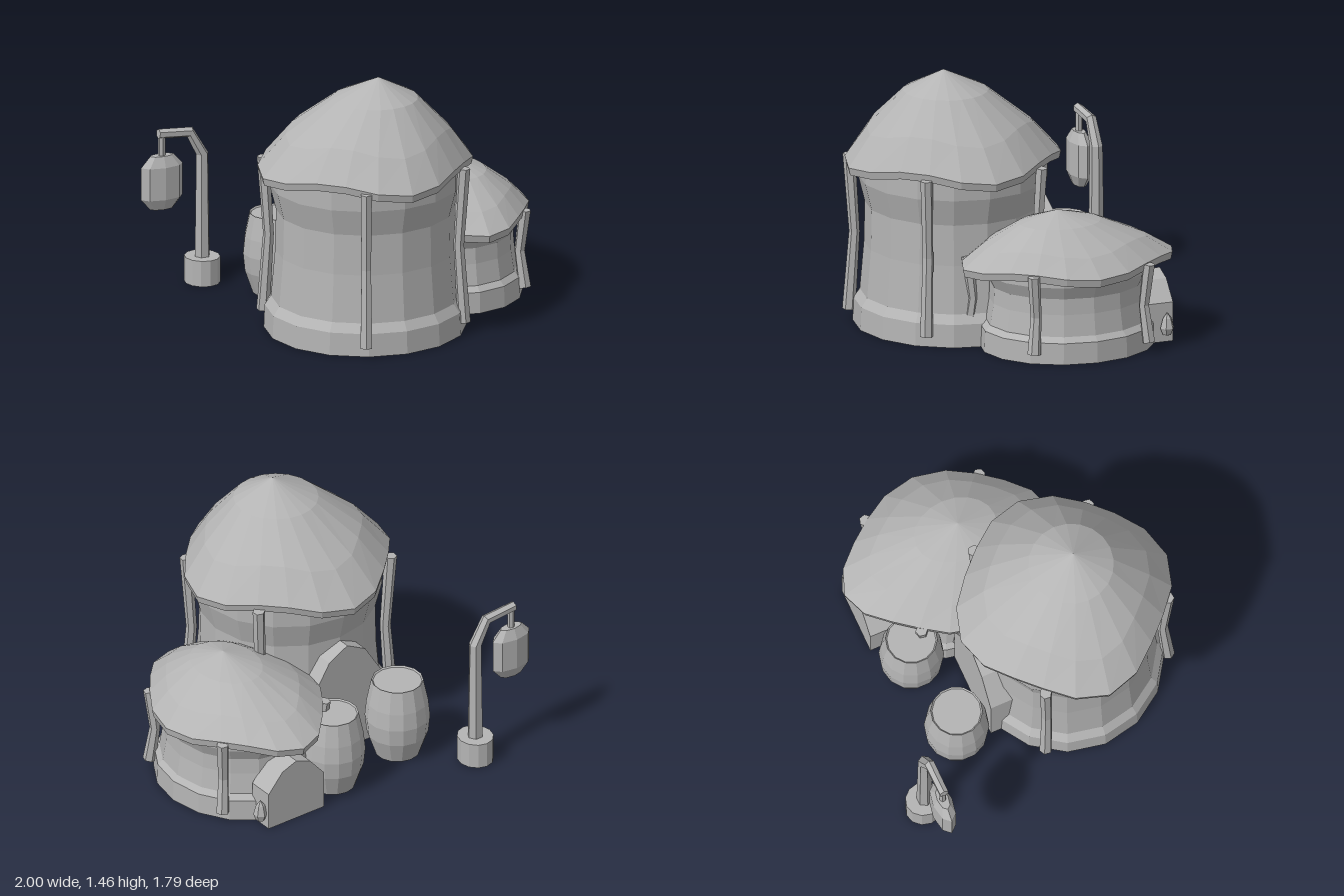
import * as THREE from 'three';

const V = (x, y, z) => new THREE.Vector3(x, y, z);
const stone = new THREE.MeshStandardMaterial({ color: 0xb4b4b4, flatShading: true, side: THREE.DoubleSide });
stone.name = 'plain grey';

function mesh(parent, name, geometry) {
  const m = new THREE.Mesh(geometry, stone);
  m.name = name;
  parent.add(m);
  return m;
}

// Skin between closed loops of points, listed from bottom to top
function loft(rings) {
  const n = rings[0].length, pos = [], idx = [];
  rings.forEach(ring => ring.forEach(p => pos.push(p.x, p.y, p.z)));
  for (let i = 0; i < rings.length - 1; i++) {
    for (let j = 0; j < n; j++) {
      const a = i * n + j, b = i * n + (j + 1) % n, c = b + n, d = a + n;
      idx.push(a, d, b, b, d, c);
    }
  }
  const g = new THREE.BufferGeometry();
  g.setAttribute('position', new THREE.Float32BufferAttribute(pos, 3));
  g.setIndex(idx);
  g.computeVertexNormals();
  return g;
}

// Loop of n points around a centre
function ring(n, fn) {
  return Array.from({ length: n }, (_, j) => fn(j / n * Math.PI * 2));
}

// Bent beam through points, with a fixed sideways direction
function beam(points, radii, side, sides = 6) {
  const rings = points.map((p, i) => {
    const t = points[Math.min(i + 1, points.length - 1)].clone()
      .sub(points[Math.max(i - 1, 0)]).normalize();
    const normal = t.cross(side).normalize();
    return ring(sides, a => p.clone()
      .addScaledVector(normal, radii[i] * Math.cos(a))
      .addScaledVector(side, radii[i] * Math.sin(a)));
  });
  const cap = p => Array.from({ length: sides }, () => p.clone());
  return loft([cap(points[0]), ...rings, cap(points[points.length - 1])]);
}

const lathe = (profile, sides) =>
  new THREE.LatheGeometry(profile.map(([r, y]) => new THREE.Vector2(r, y)), sides);

function hut(name, o) {
  const g = new THREE.Group();
  g.name = name;
  g.position.set(o.x, 0, o.z);

  // Plinth and waisted wall
  const wallRadii = [0.56, 0.555, 0.52, 0.497, 0.492, 0.53, 0.53];
  const wall = mesh(g, 'wall', lathe(wallRadii.map((r, i) => [r, o.wallY[i]]), 16));
  wall.scale.set(o.sx, 1, o.sz);

  // Roof with four drooping corners and a leaning peak
  const wave = a => Math.sin(2 * a) ** 2;
  const eave = (k, y) => ring(20, a => {
    const r = (0.62 - 0.07 * wave(a)) * k;
    return V(r * Math.cos(a) * o.sx, y + o.bump * wave(a), r * Math.sin(a));
  });
  const circle = (r, k) => ring(20, a => V(
    (r * Math.cos(a) + 0.045 * k) * o.sx, o.eaveY + o.roofH * k, r * Math.sin(a) + 0.075 * k));
  const mid = eave(0.77, o.eaveY + o.roofH * 0.34);
  mid.forEach(p => p.add(V(0.01, 0, 0.02)));
  mesh(g, 'roof', loft([
    eave(0.8, o.eaveY - 0.005), eave(0.985, o.eaveY - 0.042), eave(1, o.eaveY),
    mid, circle(0.235, 0.77), circle(0, 1)]));

  // Bent support posts
  for (const [px, pz] of [[0.44, 0.34], [0.45, -0.34], [-0.47, -0.32], [-0.235, 0.52]]) {
    const base = V(px * o.sx, 0, pz);
    const inward = base.clone().normalize().multiplyScalar(-0.03);
    const side = V(-base.z, 0, base.x).normalize();
    const at = (y, k) => base.clone().addScaledVector(inward, k).setY(y);
    const h = o.postTop;
    mesh(g, 'post', beam([at(0.06, 0), at(h * 0.53, 1), at(h, 0)], [0.037, 0.03, 0.035], side));
  }

  // Arched door slab at the back
  const w = 0.245 * o.sx, h = o.doorH, s = new THREE.Shape();
  [[-w, 0], [w, 0], [w, h * 0.6], [w * 0.5, h * 0.9], [0, h], [-w * 0.5, h * 0.9], [-w, h * 0.6]]
    .forEach(([x, y], i) => (i ? s.lineTo(x, y) : s.moveTo(x, y)));
  mesh(g, 'door', new THREE.ExtrudeGeometry(s, { depth: 0.15, bevelEnabled: false }))
    .position.z = -0.55;

  // Small spindle ornament beside the door
  const l = o.doorH;
  mesh(g, 'doorOrnament', lathe([[0, 0.11 * l], [0.025, 0.13 * l], [0.04, 0.23 * l],
    [0.025, 0.38 * l], [0, 0.47 * l]], 6)).position.set(0.275 * o.sx, 0, -0.505);
  return g;
}

export function createModel() {
  const model = new THREE.Group();
  model.name = 'roundHuts';

  model.add(hut('tallHut', {
    x: -0.135, z: 0.267, sx: 1, sz: 0.98, wallY: [0, 0.13, 0.18, 0.45, 0.68, 0.83, 0.95],
    eaveY: 0.937, roofH: 0.518, bump: 0.05, postTop: 0.95, doorH: 0.66,
  }));
  model.add(hut('lowHut', {
    x: 0.52, z: -0.14, sx: 0.775, sz: 0.88, wallY: [0, 0.12, 0.15, 0.27, 0.36, 0.43, 0.5],
    eaveY: 0.485, roofH: 0.295, bump: 0.03, postTop: 0.505, doorH: 0.37,
  }));

  // Barrels with a sunken lid
  for (const [x, z] of [[-0.338, -0.47], [0.147, -0.525]]) {
    mesh(model, 'barrel', lathe([[0, 0], [0.125, 0], [0.17, 0.13], [0.18, 0.23], [0.17, 0.33],
      [0.143, 0.46], [0.135, 0.452], [0, 0.452]], 14)).position.set(x, 0, z);
  }

  // Lamp post with hanging lantern
  const lamp = new THREE.Group();
  lamp.name = 'lampPost';
  lamp.position.z = -0.793;
  model.add(lamp);
  const foot = mesh(lamp, 'lampFoot', new THREE.CylinderGeometry(0.098, 0.098, 0.148, 12));
  foot.position.set(-0.63, 0.074, 0);
  foot.scale.z = 1.1;
  mesh(lamp, 'lampPole', beam(
    [V(-0.63, 0.1, 0), V(-0.63, 0.74, 0), V(-0.705, 0.875, 0), V(-0.895, 0.89, 0)],
    [0.045, 0.036, 0.031, 0.028], V(0, 0, 1), 6));
  mesh(lamp, 'lampHanger', new THREE.CylinderGeometry(0.02, 0.02, 0.13, 6))
    .position.set(-0.875, 0.815, 0);
  const lantern = mesh(lamp, 'lantern', lathe([[0, 0.457], [0.07, 0.457], [0.125, 0.52],
    [0.125, 0.705], [0.07, 0.765], [0, 0.765]], 8));
  lantern.position.x = -0.875;
  lantern.rotation.y = Math.PI / 2;
  lantern.scale.x = 0.45;
  return model;
}
